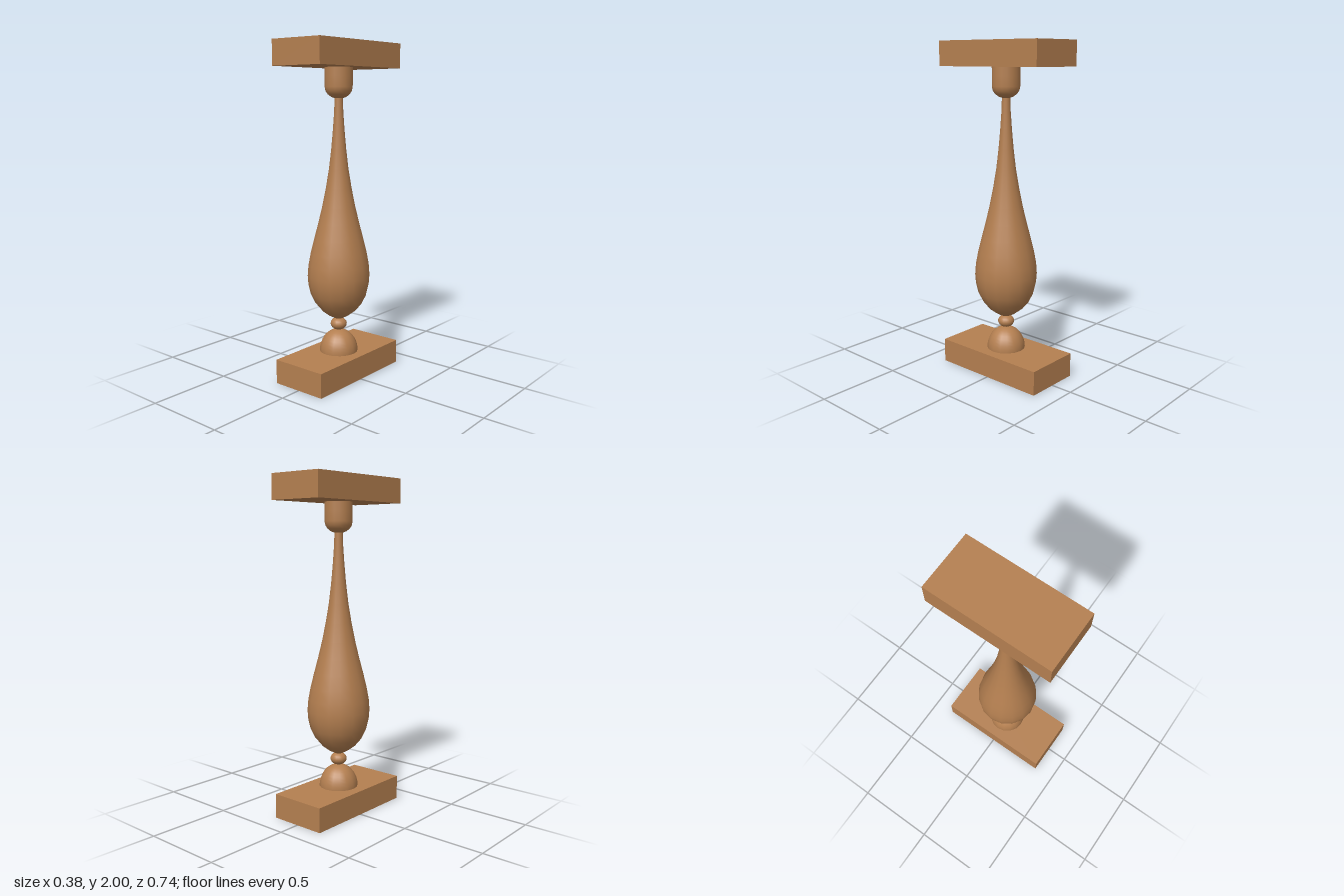
import * as THREE from 'three';

const SIDES = 16;

export function createModel() {
  const group = new THREE.Group();
  const wood = new THREE.MeshStandardMaterial({ color: 0xb47f50 });
  wood.name = 'warm wood';

  const add = (name, geometry, y = 0) => {
    const mesh = new THREE.Mesh(geometry, wood);
    mesh.name = name;
    mesh.position.y = y;
    group.add(mesh);
    return mesh;
  };
  // Turned part from [radius, height] pairs, bottom to top
  const turned = (name, profile) =>
    add(name, new THREE.LatheGeometry(profile.map(([r, y]) => new THREE.Vector2(r, y)), SIDES));

  // Matching blocks at the foot and the head
  const H = 0.146;
  add('bottomBlock', new THREE.BoxGeometry(0.35, H, 0.735), H / 2);
  add('topBlock', new THREE.BoxGeometry(0.35, H, 0.735), 2 - H / 2);

  // Dome on the bottom block
  const dome = add('footDome', new THREE.SphereGeometry(1, SIDES, 10, 0, Math.PI * 2, 0, Math.PI / 2), H);
  dome.scale.set(0.117, 0.134, 0.117);

  // Small flattened bead
  const bead = add('bead', new THREE.SphereGeometry(1, SIDES, 12), 0.316);
  bead.scale.set(0.05, 0.038, 0.05);

  // Teardrop body with a long slender neck
  turned('teardropBody', [
    [0, 0.345], [0.025, 0.352], [0.06, 0.37], [0.104, 0.403], [0.143, 0.45],
    [0.17, 0.505], [0.184, 0.565], [0.188, 0.62], [0.183, 0.685], [0.169, 0.76],
    [0.148, 0.845], [0.123, 0.94], [0.099, 1.04], [0.077, 1.15], [0.058, 1.265],
    [0.044, 1.385], [0.034, 1.5], [0.027, 1.6], [0.024, 1.69],
  ]);

  // Cup with a rounded underside holding the neck
  turned('neckCup', [
    [0, 1.673], [0.02, 1.675], [0.044, 1.684], [0.064, 1.699],
    [0.077, 1.718], [0.082, 1.742], [0.082, 1.8], [0.082, 1.86],
  ]);

  return group;
}
